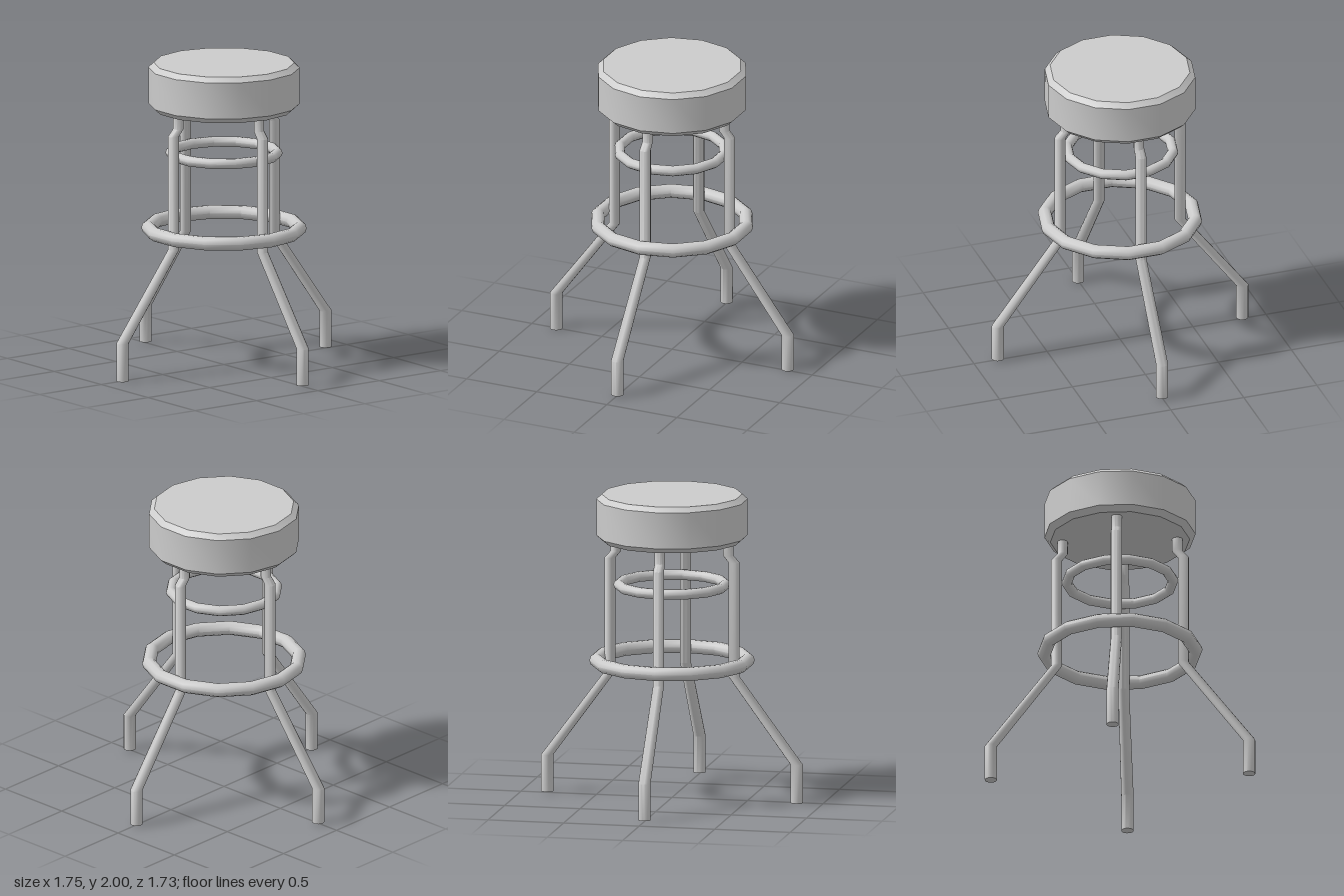
import * as THREE from 'three';
import { toCreasedNormals } from 'three/addons/utils/BufferGeometryUtils.js';

const SIDES = 14; // corners of the seat and rings
const CREASE = 0.75;

export function createModel() {
  const stool = new THREE.Group();
  stool.name = 'barStool';
  const material = new THREE.MeshStandardMaterial({ color: 0xcccccc });

  const add = (name, geometry, parent = stool) => {
    const mesh = new THREE.Mesh(toCreasedNormals(geometry, CREASE), material);
    mesh.name = name;
    parent.add(mesh);
    return mesh;
  };

  // Seat cushion: a drum with bevelled rims
  const seatProfile = [[0, 1.695], [0.452, 1.695], [0.49, 1.73], [0.49, 1.968], [0.455, 2], [0, 2]]
    .map(([r, y]) => new THREE.Vector2(r, y));
  add('seat', new THREE.LatheGeometry(seatProfile, SIDES, Math.PI / 2));

  // Horizontal rings: small brace above, wide foot rest below
  const ring = (name, radius, tube, y) => {
    const geometry = new THREE.TorusGeometry(radius, tube, 10, SIDES);
    add(name, geometry.rotateX(Math.PI / 2)).position.y = y;
  };
  ring('upperRing', 0.345, 0.034, 1.403);
  ring('footRing', 0.49, 0.045, 0.905);

  // Legs: level cross-sections slid outward along a bent path [distance, height, radius]
  const legGeometry = (foot, reach) => {
    const path = [
      [0.372, 1.7, 0.034], [0.372, 1.61, 0.034], [0.41, 1.565, 0.036],
      [0.41, 0.815, 0.036], [reach, 0.25, 0.04], [reach, foot, 0.04],
    ];
    const geometry = new THREE.CylinderGeometry(1, 1, 1, 14, path.length - 1);
    const p = geometry.attributes.position;
    for (let i = 0; i < p.count; i++) {
      const [out, y, r] = path[Math.round((0.5 - p.getY(i)) * (path.length - 1))];
      p.setXYZ(i, out + p.getX(i) * r, y, p.getZ(i) * r);
    }
    return geometry;
  };

  const legs = new THREE.Group();
  legs.name = 'legs';
  stool.add(legs);
  [
    ['leftLeg', 0, 0.01, 0.837],
    ['backLeg', 1, 0.01, 0.826],
    ['rightLeg', 2, 0.01, 0.837],
    ['frontLeg', 3, 0, 0.826],
  ].forEach(([name, quarter, foot, reach]) => {
    add(name, legGeometry(foot, reach), legs).rotation.y = quarter * Math.PI / 2;
  });

  return stool;
}
